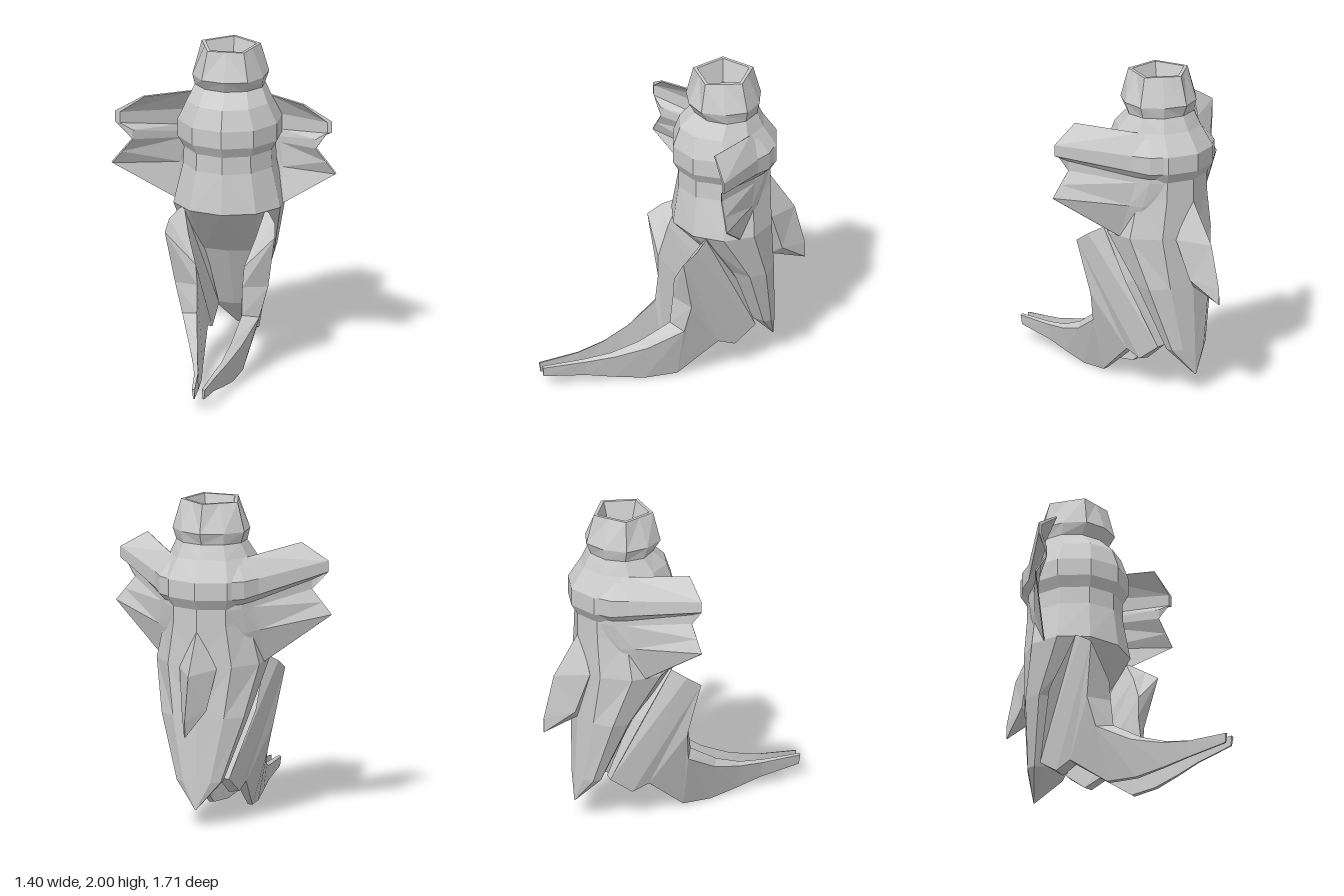
import * as THREE from 'three';

const material = new THREE.MeshStandardMaterial({ color: 0xcccccc, flatShading: true, side: THREE.DoubleSide });

// Joins equal-length loops of [x, y, z] points into a closed, outward-facing faceted solid
function loft(name, loops) {
  const tris = [];
  const n = loops[0].length;
  for (let s = 0; s < loops.length - 1; s++) {
    for (let i = 0; i < n; i++) {
      const j = (i + 1) % n;
      const a = loops[s][i], b = loops[s][j], c = loops[s + 1][j], d = loops[s + 1][i];
      // Split both skins of a thin part along the same diagonal
      if (i < n / 2) tris.push([a, b, c], [a, c, d]);
      else tris.push([a, b, d], [b, c, d]);
    }
  }
  // End caps, triangulated in x/z when level and in x/y otherwise
  const cap = (loop, flip) => {
    const ys = loop.map(p => p[1]);
    const level = Math.max(...ys) - Math.min(...ys) < 0.001;
    const pts = loop.map(p => new THREE.Vector2(p[0], level ? p[2] : p[1]));
    const clockwise = THREE.ShapeUtils.isClockWise(pts);
    for (const f of THREE.ShapeUtils.triangulateShape(pts, [])) {
      const t = f.map(i => loop[i]);
      // Keep the winding of the loop itself
      if (THREE.ShapeUtils.isClockWise(f.map(i => pts[i])) !== clockwise) t.reverse();
      tris.push(flip ? t.reverse() : t);
    }
  };
  cap(loops[0], true);
  cap(loops[loops.length - 1], false);
  // Signed volume tells whether the faces look outward
  const v = p => new THREE.Vector3(...p);
  const volume = tris.reduce((sum, [a, b, c]) => sum + v(a).dot(v(b).cross(v(c))), 0);
  if (volume < 0) tris.forEach(t => t.reverse());
  const geometry = new THREE.BufferGeometry();
  geometry.setAttribute('position', new THREE.Float32BufferAttribute(tris.flat(2), 3));
  geometry.computeVertexNormals();
  const mesh = new THREE.Mesh(geometry, material);
  mesh.name = name;
  return mesh;
}

// Ten-point ring with a corner at the back; k = 0.81 turns it into a pentagon
function ring(y, front, back, rx, k = 1) {
  const rz = (front - back) / (1 + k);
  const zc = back + rz;
  return Array.from({ length: 10 }, (_, i) => {
    const a = (i / 10) * Math.PI * 2;
    const f = i % 2 ? k : 1;
    return [Math.sin(a) * rx * f, y, zc - Math.cos(a) * rz * f];
  });
}

const mirror = loops => loops.map(loop => loop.map(([x, y, z]) => [-x, y, z]));

export function createModel() {
  const model = new THREE.Group();

  // Torso, neck and hollow pentagonal collar
  model.add(loft('body', [
    ring(0.11, -0.645, -0.65, 0.004),
    ring(0.28, -0.48, -0.645, 0.15),
    ring(0.68, -0.29, -0.63, 0.28),
    ring(1.0, 0.0, -0.63, 0.35),
    ring(1.25, -0.035, -0.63, 0.29),
    ring(1.36, -0.035, -0.63, 0.285),
    ring(1.425, 0.0, -0.67, 0.325),
    ring(1.535, 0.0, -0.67, 0.325),
    ring(1.66, -0.045, -0.585, 0.265),
    ring(1.75, -0.14, -0.54, 0.22),
    ring(1.82, -0.1, -0.57, 0.245, 0.95),
    ring(2.0, -0.17, -0.52, 0.193, 0.81),
    ring(2.0, -0.19, -0.495, 0.168, 0.81),
    ring(1.86, -0.23, -0.45, 0.125, 0.81),
  ]));

  // Pointed tail fin on the back
  model.add(loft('tailFin', [
    [[0, 1.23, -0.625], [0.01, 1.22, -0.61], [0, 1.21, -0.55], [-0.01, 1.22, -0.61]],
    [[0, 0.97, -0.79], [0.12, 0.99, -0.6], [0, 0.93, -0.5], [-0.12, 0.99, -0.6]],
    [[0, 0.7, -0.857], [0.08, 0.74, -0.68], [0, 0.67, -0.63], [-0.08, 0.74, -0.68]],
    [[0, 0.605, -0.857], [0.004, 0.605, -0.855], [0, 0.605, -0.85], [-0.004, 0.605, -0.855]],
  ]));

  // Folded wing: outer skin from top edge to bottom edge, thickened only along the ridge.
  // It starts on the back of the torso and continues the torso's ridge and groove.
  const wingSkins = [
    [[0.14, 1.67, -0.49], [0.19, 1.535, -0.595], [0.19, 1.425, -0.595],
      [0.17, 1.385, -0.565], [0.17, 1.35, -0.565], [0.18, 1.22, -0.53], [0.2, 1.1, -0.5]],
    [[0.2, 1.665, -0.45], [0.275, 1.535, -0.53], [0.275, 1.425, -0.53],
      [0.25, 1.385, -0.5], [0.25, 1.355, -0.5], [0.27, 1.2, -0.46], [0.28, 1.05, -0.4]],
    [[0.25, 1.665, -0.41], [0.335, 1.54, -0.435], [0.335, 1.44, -0.435],
      [0.3, 1.395, -0.43], [0.3, 1.36, -0.43], [0.325, 1.21, -0.4], [0.335, 1.0, -0.32]],
    [[0.5, 1.715, -0.1], [0.675, 1.61, -0.1], [0.675, 1.54, -0.1],
      [0.575, 1.49, -0.12], [0.575, 1.43, -0.12], [0.64, 1.35, -0.115], [0.7, 1.275, -0.11]],
  ];
  const wing = wingSkins.map(skin => [...skin,
    ...skin.map(([x, y, z], i) => [x - (i === 1 || i === 2 ? 0.03 : 0.006), y - 0.005, z + 0.004]).reverse()]);
  model.add(loft('leftWing', wing), loft('rightWing', mirror(wing)));

  // Leg sections: outer front, inner front, inner back, outer back
  const leg = [
    [[0.275, 1.0, -0.12], [0.25, 1.0, -0.13], [0.15, 0.68, -0.33], [0.28, 0.69, -0.32]],
    [[0.33, 0.95, -0.04], [0.21, 0.86, -0.04], [0.09, 0.28, -0.47], [0.16, 0.28, -0.48]],
    [[0.342, 0.89, 0.05], [0.15, 0.69, 0.045], [0.11, 0.17, -0.34], [0.18, 0.18, -0.34]],
    [[0.29, 0.55, -0.02], [0.14, 0.56, 0.05], [0.12, 0.21, -0.23], [0.185, 0.22, -0.23]],
    [[0.24, 0.36, 0.01], [0.14, 0.385, 0.07], [0.11, 0.02, 0.02], [0.14, 0.02, 0.02]],
    [[0.165, 0.24, 0.22], [0.105, 0.265, 0.26], [0.085, 0.005, 0.22], [0.11, 0.005, 0.22]],
    [[0.11, 0.185, 0.41], [0.075, 0.2, 0.43], [0.065, 0.03, 0.41], [0.08, 0.03, 0.41]],
    [[0.07, 0.16, 0.59], [0.045, 0.17, 0.6], [0.045, 0.06, 0.58], [0.055, 0.06, 0.58]],
    [[0.04, 0.15, 0.857], [0.022, 0.155, 0.857], [0.025, 0.09, 0.85], [0.034, 0.09, 0.85]],
  ];
  model.add(loft('leftLeg', leg), loft('rightLeg', mirror(leg)));

  return model;
}
